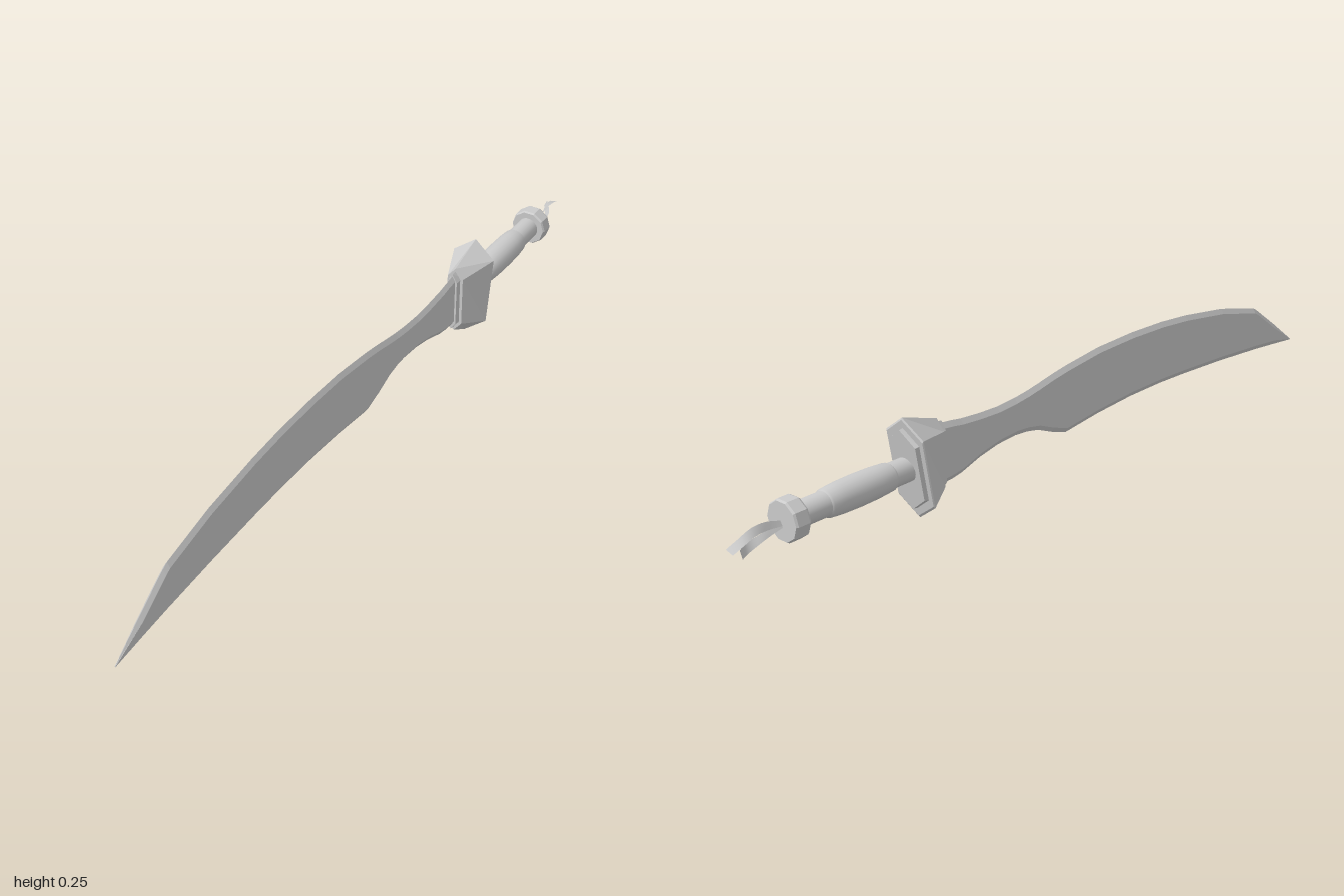
import * as THREE from 'three';

const material = new THREE.MeshStandardMaterial({ color: 0xcccccc, flatShading: true });
const smooth = new THREE.MeshStandardMaterial({ color: 0xcccccc });
const cloth = new THREE.MeshStandardMaterial({ color: 0xcccccc, side: THREE.DoubleSide });

// Six-sided ring, counter-clockwise seen from +z; tilt leans it along z
function hex(z, w, top, shoulderTop, shoulderBottom, bottom, tilt = 0) {
  return [[0, bottom], [w, shoulderBottom], [w, shoulderTop], [0, top], [-w, shoulderTop], [-w, shoulderBottom]]
    .map(([x, y]) => [x, y, z - tilt * y]);
}

// Skin rings ordered from +z to -z, with both ends capped
function loft(rings) {
  const p = [];
  const n = rings[0].length;
  for (let i = 0; i + 1 < rings.length; i++) {
    for (let j = 0; j < n; j++) {
      const k = (j + 1) % n;
      const a = rings[i][j], b = rings[i][k], c = rings[i + 1][k], d = rings[i + 1][j];
      p.push(...a, ...d, ...b, ...b, ...d, ...c);
    }
  }
  const first = rings[0], last = rings[rings.length - 1];
  for (let j = 1; j + 1 < n; j++) {
    p.push(...first[0], ...first[j], ...first[j + 1]);
    p.push(...last[0], ...last[j + 1], ...last[j]);
  }
  const g = new THREE.BufferGeometry();
  g.setAttribute('position', new THREE.Float32BufferAttribute(p, 3));
  g.computeVertexNormals();
  return g;
}

// Thin strip following centre points; each point also gives its half-width vector
function ribbon(points, halves) {
  const centre = new THREE.CatmullRomCurve3(points.map((q) => new THREE.Vector3(...q)));
  const half = new THREE.CatmullRomCurve3(halves.map((q) => new THREE.Vector3(...q)));
  const steps = 12;
  const g = new THREE.PlaneGeometry(1, 1, 1, steps);
  for (let i = 0; i <= steps; i++) {
    const c = centre.getPoint(i / steps), h = half.getPoint(i / steps);
    g.attributes.position.setXYZ(2 * i, c.x - h.x, c.y - h.y, c.z - h.z);
    g.attributes.position.setXYZ(2 * i + 1, c.x + h.x, c.y + h.y, c.z + h.z);
  }
  g.computeVertexNormals();
  return g;
}

export function createModel() {
  const model = new THREE.Group();
  const add = (name, geometry, mat = material) => {
    const mesh = new THREE.Mesh(geometry, mat);
    mesh.name = name;
    model.add(mesh);
    return mesh;
  };

  // Blade: z, spine height, edge height
  const stations = [
    [1, 0.036, 0.034], [0.91, 0.104, 0.043], [0.825, 0.165, 0.051], [0.81, 0.174, 0.052],
    [0.66, 0.21, 0.063], [0.5, 0.232, 0.071], [0.4, 0.24, 0.074], [0.28, 0.243, 0.073],
    [0.15, 0.239, 0.065], [0.03, 0.225, 0.052], [-0.02, 0.217, 0.068], [-0.07, 0.207, 0.089],
    [-0.11, 0.2, 0.097], [-0.15, 0.195, 0.1], [-0.21, 0.191, 0.096], [-0.27, 0.193, 0.084],
    [-0.33, 0.198, 0.065], [-0.36, 0.203, 0.06], [-0.42, 0.21, 0.056],
  ];
  add('blade', loft(stations.map(([z, top, bottom]) => {
    const bevel = Math.min(0.013, (top - bottom) * 0.3);
    return hex(z, z === 1 ? 0.001 : 0.008, top, top - bevel, bottom + bevel, bottom);
  })));

  // Collar where the blade enters the guard
  add('collar', loft([
    hex(-0.39, 0.013, 0.212, 0.19, 0.066, 0.046),
    hex(-0.42, 0.016, 0.215, 0.194, 0.06, 0.042),
  ]));

  // Flared guard with a leaning back face and raised back plate
  add('guard', loft([
    hex(-0.405, 0.022, 0.222, 0.195, 0.06, 0.034),
    hex(-0.465, 0.058, 0.255, 0.212, 0.043, 0, 0.176),
    hex(-0.468, 0.056, 0.25, 0.208, 0.047, 0.006, 0.176),
    hex(-0.468, 0.044, 0.23, 0.196, 0.06, 0.026, 0.176),
    hex(-0.479, 0.042, 0.228, 0.194, 0.062, 0.028, 0.176),
  ]));

  // Handle parts turned about the z axis: radius and distance behind the origin
  const turned = (name, profile, sides, mat) => {
    const g = new THREE.LatheGeometry(profile.map(([r, d]) => new THREE.Vector2(r, d)), sides, Math.PI / sides);
    g.rotateX(-Math.PI / 2);
    g.translate(0, 0.13, 0);
    return add(name, g, mat);
  };
  turned('handleCore', [[0, 0.48], [0.029, 0.48], [0.029, 0.83], [0, 0.83]], 20, smooth);
  turned('grip', [[0.028, 0.55], [0.033, 0.558], [0.036, 0.6], [0.037, 0.65], [0.036, 0.7], [0.033, 0.737], [0.028, 0.742]], 20, smooth);
  turned('pommel', [[0, 0.815], [0.046, 0.815], [0.049, 0.82], [0.049, 0.85], [0.046, 0.855], [0, 0.855]], 10, material);

  // Two cloth ribbons trailing from the pommel
  add('upperRibbon', ribbon(
    [[0, 0.125, -0.85], [0.003, 0.132, -0.89], [-0.002, 0.134, -0.93], [-0.01, 0.127, -0.97], [-0.012, 0.118, -1]],
    [[0.003, 0.005, 0], [0.004, 0.008, 0], [0.007, 0.007, 0], [0.01, 0.004, 0], [0.011, 0.003, 0]]), cloth);
  add('lowerRibbon', ribbon(
    [[0, 0.123, -0.85], [0.002, 0.115, -0.89], [0, 0.109, -0.925], [-0.01, 0.108, -0.955], [-0.03, 0.113, -0.985]],
    [[0.003, 0.005, 0], [0.004, 0.006, 0], [0.007, 0.006, 0], [0.006, 0.007, 0], [0.004, 0.009, 0]]), cloth);

  return model;
}
